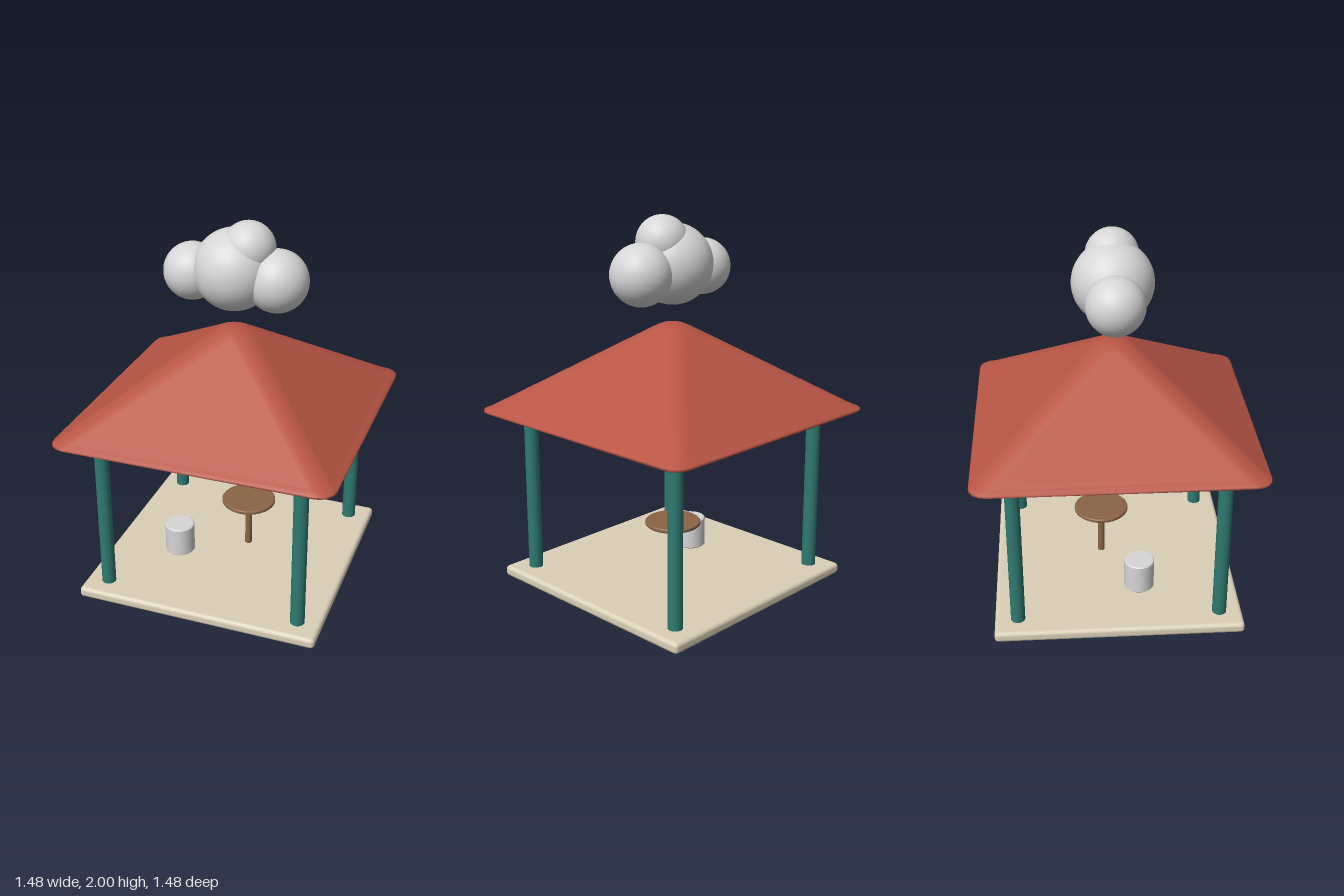
import * as THREE from 'three';
import { mergeVertices } from 'three/addons/utils/BufferGeometryUtils.js';
import { RoundedBoxGeometry } from 'three/addons/geometries/RoundedBoxGeometry.js';

const material = (name, color) => {
  const m = new THREE.MeshStandardMaterial({ color });
  m.name = name;
  return m;
};

// Surface through rounded-square rings, each given as [half width, corner radius, height]
function squareLoft(rings) {
  const steps = 4, n = 4 * (steps + 1), positions = [], index = [];
  for (const [half, radius, y] of rings) {
    for (let corner = 0; corner < 4; corner++) {
      const mid = Math.PI / 4 + corner * Math.PI / 2;
      const cx = Math.sign(Math.cos(mid)) * (half - radius);
      const cz = Math.sign(Math.sin(mid)) * (half - radius);
      for (let s = 0; s <= steps; s++) {
        const a = (corner + s / steps) * Math.PI / 2;
        positions.push(cx + radius * Math.cos(a), y, cz + radius * Math.sin(a));
      }
    }
  }
  for (let i = 0; i < rings.length - 1; i++) {
    for (let j = 0; j < n; j++) {
      const a = i * n + j, b = i * n + (j + 1) % n;
      index.push(a, a + n, b, b, a + n, b + n);
    }
  }
  const g = new THREE.BufferGeometry();
  g.setAttribute('position', new THREE.Float32BufferAttribute(positions, 3));
  g.setIndex(index);
  const merged = mergeVertices(g, 1e-4);
  merged.computeVertexNormals();
  return merged;
}

// Upright cylinder between two heights, with a small chamfer at both ends
function chamferedDisc(radius, y0, y1, c, sides) {
  const p = [[0, y0], [radius - c, y0], [radius - c, y0], [radius, y0 + c], [radius, y0 + c],
    [radius, y1 - c], [radius, y1 - c], [radius - c, y1], [radius - c, y1], [0, y1]];
  return new THREE.LatheGeometry(p.map(([x, y]) => new THREE.Vector2(x, y)), sides);
}

export function createModel() {
  const model = new THREE.Group();
  model.name = 'pavilion';
  const cream = material('cream stone', 0xdbd0b8);
  const teal = material('teal paint', 0x2f7a70);
  const red = material('red roof', 0xb85545);
  const wood = material('brown wood', 0x8a6545);
  const grey = material('pale grey', 0xd6d6d6);

  const add = (name, geometry, mat, x = 0, y = 0, z = 0, parent = model) => {
    const mesh = new THREE.Mesh(geometry, mat);
    mesh.name = name;
    mesh.position.set(x, y, z);
    parent.add(mesh);
    return mesh;
  };

  // Floor slab
  add('floor', new RoundedBoxGeometry(1.32, 0.06, 1.32, 3, 0.022), cream, 0, 0.03, 0);

  // Four corner posts
  const postGeometry = new THREE.CylinderGeometry(0.038, 0.038, 0.91, 20);
  for (const x of [-0.537, 0.537]) {
    for (const z of [-0.537, 0.537]) add('post', postGeometry, teal, x, 0.505, z);
  }

  // Hipped roof with softened hips, rim and peak, closed underneath
  const roof = new THREE.Group();
  roof.name = 'roof';
  model.add(roof);
  add('roofTop', squareLoft([
    [0.73, 0.08, 0.95], [0.74, 0.09, 0.957], [0.737, 0.09, 0.967], [0.715, 0.09, 0.978],
    [0.69, 0.09, 0.995], [0.11, 0.09, 1.402], [0.085, 0.085, 1.418], [0.055, 0.055, 1.43], [0, 0, 1.44],
  ]), red, 0, 0, 0, roof);
  add('roofUnderside', squareLoft([[0, 0, 0.95], [0.73, 0.08, 0.95]]), red, 0, 0, 0, roof);

  // Round table
  const table = new THREE.Group();
  table.name = 'table';
  table.position.set(0.063, 0, -0.063);
  model.add(table);
  add('tableTop', chamferedDisc(0.15, 0.338, 0.36, 0.005, 32), wood, 0, 0, 0, table);
  add('tableLeg', new THREE.CylinderGeometry(0.019, 0.019, 0.29, 16), wood, 0, 0.2, 0, table);

  // Drum stool
  add('stool', chamferedDisc(0.082, 0.06, 0.23, 0.006, 32), grey, -0.283, 0, 0.127);

  // Cloud floating above the roof
  const cloud = new THREE.Group();
  cloud.name = 'cloud';
  model.add(cloud);
  const puffs = [[0, 1.742, 0.212], [-0.228, 1.707, 0.15], [0.227, 1.707, 0.162], [0.075, 1.862, 0.138]];
  for (const [x, y, r] of puffs) {
    add('cloudPuff', new THREE.SphereGeometry(r, 40, 28), grey, x, y, 0, cloud);
  }
  return model;
}
